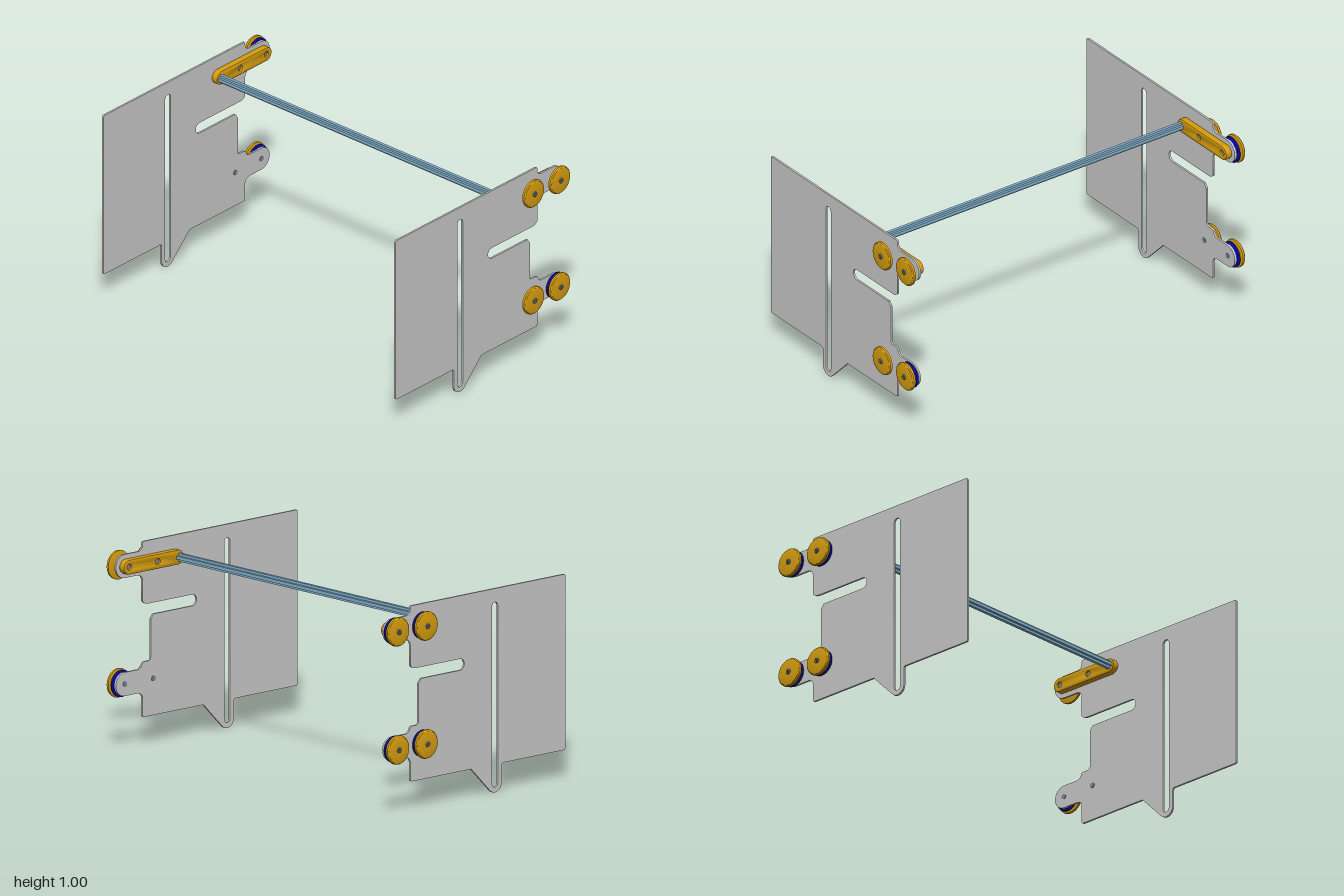
import * as THREE from 'three';
import { toCreasedNormals } from 'three/addons/utils/BufferGeometryUtils.js';

const mat = (color) => new THREE.MeshStandardMaterial({ color });
const GREY = mat(0xcccccc), GOLD = mat(0xd9a010), BLUE = mat(0x1010c0);
const STEEL = mat(0x7c8a94), ROD = mat(0x86b4d0);
const PI = Math.PI, AXLE_Z = [-0.34, -0.526], ROWS = [0.897, 0.318];

function add(parent, name, geometry, material) {
  const mesh = new THREE.Mesh(geometry, material);
  mesh.name = name;
  parent.add(mesh);
  return mesh;
}

// Extrudes a (z, y) outline into a sheet centred on x
function sheet(shape, depth, bevel = 0) {
  const g = new THREE.ExtrudeGeometry(shape, {
    depth: depth - 2 * bevel, curveSegments: 20, bevelEnabled: bevel > 0,
    bevelSize: bevel, bevelThickness: bevel, bevelOffset: -bevel, bevelSegments: 2,
  });
  g.translate(0, 0, -depth / 2 + bevel);
  g.rotateY(-PI / 2);
  return toCreasedNormals(g, 0.6);
}

function circleHole(z, y, r) {
  return new THREE.Path().absarc(z, y, r, 0, 2 * PI, true);
}

function plateGeometry() {
  const s = new THREE.Shape();
  const lobe = (y) => s.absarc(-0.526, y, 0.058, PI / 2, 1.5 * PI, false);
  s.moveTo(0.59, 1);
  s.lineTo(-0.4, 1);
  s.quadraticCurveTo(-0.41, 1, -0.41, 0.99);
  // upper wheel lobe
  s.lineTo(-0.41, 0.98);
  s.quadraticCurveTo(-0.414, 0.955, -0.443, 0.955);
  lobe(ROWS[0]);
  s.lineTo(-0.443, 0.839);
  s.quadraticCurveTo(-0.41, 0.836, -0.41, 0.805);
  s.lineTo(-0.41, 0.708);
  s.quadraticCurveTo(-0.4, 0.692, -0.377, 0.69);
  // horizontal slot
  s.lineTo(-0.086, 0.69);
  s.absarc(-0.086, 0.662, 0.028, PI / 2, -PI / 2, true);
  s.lineTo(-0.34, 0.634);
  s.lineTo(-0.357, 0.61);
  s.lineTo(-0.357, 0.425);
  s.quadraticCurveTo(-0.357, 0.409, -0.373, 0.409);
  s.lineTo(-0.4, 0.409);
  // lower wheel lobe
  s.quadraticCurveTo(-0.412, 0.407, -0.414, 0.395);
  s.quadraticCurveTo(-0.424, 0.376, -0.443, 0.376);
  lobe(ROWS[1]);
  s.lineTo(-0.443, 0.26);
  s.quadraticCurveTo(-0.41, 0.257, -0.41, 0.23);
  s.lineTo(-0.41, 0.15);
  s.quadraticCurveTo(-0.41, 0.138, -0.398, 0.138);
  // pointed foot
  s.lineTo(-0.013, 0.138);
  s.absarc(0.141, 0.044, 0.044, 1.25 * PI, 2 * PI, false);
  s.lineTo(0.185, 0.125);
  s.quadraticCurveTo(0.185, 0.138, 0.198, 0.138);
  s.lineTo(0.588, 0.138);
  s.quadraticCurveTo(0.6, 0.138, 0.6, 0.15);
  s.lineTo(0.6, 0.99);
  s.quadraticCurveTo(0.6, 1, 0.59, 1);
  // vertical slot
  const slot = new THREE.Path();
  slot.absarc(0.141, 0.914, 0.019, 0, PI, false);
  slot.absarc(0.141, 0.045, 0.019, PI, 2 * PI, false);
  slot.closePath();
  s.holes.push(slot);
  return sheet(s, 0.01);
}

function armGeometry() {
  const s = new THREE.Shape(), y = ROWS[0], r = 0.036;
  s.absarc(-0.207, y, r, -PI / 2, PI / 2, false);
  s.absarc(-0.526, y, r, PI / 2, 1.5 * PI, false);
  s.closePath();
  for (const z of AXLE_Z) s.holes.push(circleHole(z, y, 0.014));
  return sheet(s, 0.034, 0.004);
}

// Turned part along the x axis; points are [radius, distance from centre]
function turned(points, side) {
  const g = new THREE.LatheGeometry(points.map(([r, d]) => new THREE.Vector2(r, d)), 40);
  g.rotateZ(-side * PI / 2);
  return toCreasedNormals(g, 0.5);
}

const OUTER_FLANGE = [[0.012, 0.974], [0.06, 0.974], [0.071, 0.977], [0.072, 0.982],
  [0.071, 0.988], [0.066, 0.993], [0.062, 0.994], [0.02, 0.994], [0.012, 0.994]];
const INNER_FLANGE = [[0.012, 0.949], [0.055, 0.949], [0.058, 0.955], [0.066, 0.957],
  [0.066, 0.965], [0.058, 0.968], [0.012, 0.968]];

function wheel(side, y, z, hasInner) {
  const g = new THREE.Group();
  g.name = 'wheel';
  g.position.set(0, y, z);
  add(g, 'outerFlange', turned(OUTER_FLANGE, side), GOLD);
  if (hasInner) add(g, 'innerFlange', turned(INNER_FLANGE, side), BLUE);
  // axle pin with a small recess in its head
  const start = y > 0.6 ? 0.912 : 0.934;
  add(g, 'axle', turned([[0, start], [0.013, start], [0.013, 0.998],
    [0.011, 1], [0.005, 1], [0.005, 0.994], [0, 0.994]], side), STEEL);
  return g;
}

// Cross-section rod spanning both arms
function rodGeometry() {
  const a = 0.02, b = 0.008;
  const s = new THREE.Shape([[a, -b], [a, b], [b, b], [b, a], [-b, a], [-b, b], [-a, b],
    [-a, -b], [-b, -b], [-b, -a], [b, -a], [b, -b]].map(([x, y]) => new THREE.Vector2(x, y)));
  return sheet(s, 1.84);
}

export function createModel() {
  const model = new THREE.Group();
  model.name = 'twinPlateCarriage';
  const plate = plateGeometry(), arm = armGeometry();
  for (const side of [1, -1]) {
    const half = new THREE.Group();
    half.name = side > 0 ? 'leftSide' : 'rightSide';
    add(half, 'sidePlate', plate, GREY).position.x = side * 0.942;
    add(half, 'arm', arm, GOLD).position.x = side * 0.92;
    for (const y of ROWS) for (const z of AXLE_Z) {
      // on the left side only the lower rear wheel has an inner flange
      half.add(wheel(side, y, z, side < 0 || (y < 0.6 && z < -0.5)));
    }
    model.add(half);
  }
  add(model, 'crossRod', rodGeometry(), ROD).position.set(0, ROWS[0], -0.2);
  return model;
}
